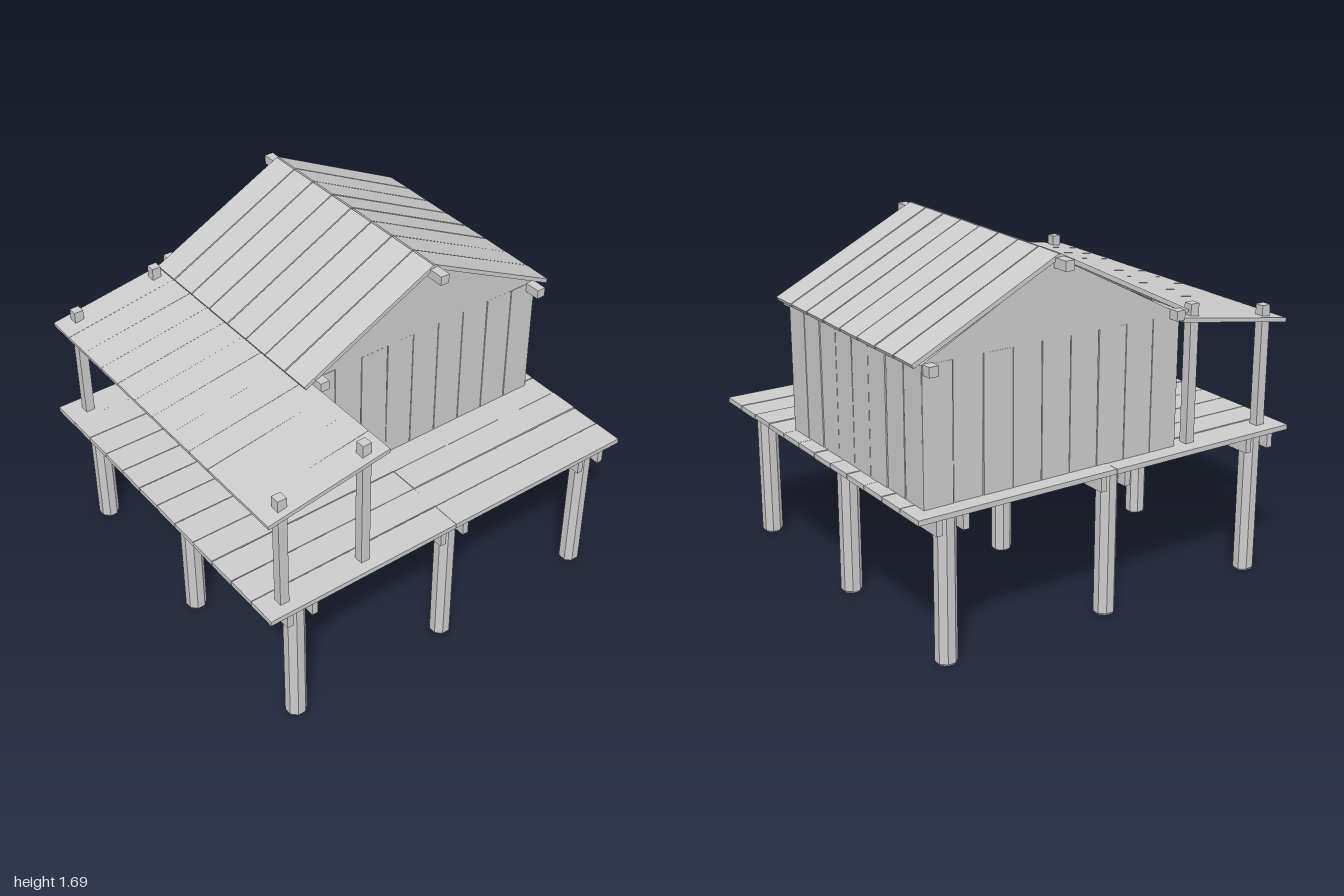
import * as THREE from 'three';

const material = new THREE.MeshStandardMaterial({ color: 0xcccccc, flatShading: true });

export function createModel() {
  const model = new THREE.Group();
  model.name = 'stiltHut';

  // small seeded wobble in -1..1 for hand-laid boards
  let seed = 7;
  const wobble = () => {
    seed = (seed * 16807) % 2147483647;
    return (seed / 2147483647) * 2 - 1;
  };

  const group = (name) => {
    const g = new THREE.Group();
    g.name = name;
    model.add(g);
    return g;
  };

  const add = (parent, name, geometry, x, y, z) => {
    const mesh = new THREE.Mesh(geometry, material);
    mesh.name = name;
    mesh.position.set(x, y, z);
    parent.add(mesh);
    return mesh;
  };

  const box = (parent, name, w, h, d, x, y, z) =>
    add(parent, name, new THREE.BoxGeometry(w, h, d), x, y, z);

  // octagonal piles with a bevelled foot, each row clasped by two beams
  const foundation = group('foundation');
  const pileProfile = [[0, 0], [0.042, 0], [0.05, 0.012], [0.05, 0.69], [0, 0.69]]
    .map(([r, y]) => new THREE.Vector2(r, y));
  for (const x of [-0.833, 0, 0.833]) {
    for (const z of [-0.825, 0, 0.825]) {
      const pile = add(foundation, 'pile', new THREE.LatheGeometry(pileProfile, 8), x, 0, z);
      pile.rotation.y = Math.PI / 8;
    }
    for (const side of [-1, 1]) {
      box(foundation, 'floorBeam', 0.03, 0.072, 1.78, x + side * 0.064, 0.654, 0);
    }
  }

  // deck boards in two lengths
  const deck = group('deck');
  for (let i = 0; i < 12; i++) {
    for (const side of [-1, 1]) {
      const board = box(deck, 'deckBoard', 0.998, 0.024, 0.146,
        side * 0.5, 0.702 + wobble() * 0.002, -0.825 + i * 0.15);
      board.rotation.y = wobble() * 0.002;
    }
  }

  // front and back walls: upright boards below a solid gable
  const x0 = -0.385, x1 = 0.93, z0 = -0.82, z1 = 0.32;
  const wallBase = 0.7, wallTop = 1.33, ridgeX = 0.27;
  const wallHeight = wallTop - wallBase, wallMid = (wallTop + wallBase) / 2;
  const gableShape = new THREE.Shape([
    new THREE.Vector2(x0, wallTop),
    new THREE.Vector2(x1, wallTop),
    new THREE.Vector2(ridgeX, 1.672),
  ]);
  for (const [name, z] of [['frontWall', z1 - 0.01], ['backWall', z0 + 0.01]]) {
    const wall = group(name);
    const step = (x1 - x0) / 9;
    for (let i = 0; i < 9; i++) {
      const board = box(wall, 'wallBoard', step - 0.004, wallHeight, 0.02,
        x0 + (i + 0.5) * step, wallMid, z + wobble() * 0.002);
      board.rotation.z = wobble() * 0.004;
    }
    add(wall, 'gable',
      new THREE.ExtrudeGeometry(gableShape, { depth: 0.02, bevelEnabled: false }), 0, 0, z - 0.01);
  }

  // side walls; the one under the porch roof has a doorway
  const step = (z1 - z0) / 8;
  for (const [name, x, hasDoor] of [['leftWall', x1 - 0.01, false], ['rightWall', x0 + 0.01, true]]) {
    const wall = group(name);
    for (let i = 0; i < 8; i++) {
      const overDoor = hasDoor && (i === 3 || i === 4);
      const h = overDoor ? 0.1 : wallHeight;
      const board = box(wall, overDoor ? 'doorLintel' : 'wallBoard', 0.02, h, step - 0.005,
        x + wobble() * 0.002, wallTop - h / 2, z0 + (i + 0.5) * step);
      board.rotation.x = wobble() * 0.005;
    }
  }

  // a row of boards laid from one point to another in the xy plane
  const slope = (name, from, to, zStart, zEnd, count, gap, skew) => {
    const g = group(name);
    const dx = to[0] - from[0], dy = to[1] - from[1];
    const width = (zEnd - zStart) / count;
    for (let i = 0; i < count; i++) {
      const holder = new THREE.Group();
      holder.name = 'roofBoardHolder';
      holder.position.set((from[0] + to[0]) / 2, (from[1] + to[1]) / 2, zStart + (i + 0.5) * width);
      holder.rotation.z = Math.atan2(dy, dx);
      g.add(holder);
      const board = box(holder, 'roofBoard', Math.hypot(dx, dy), 0.02, width - gap, 0, 0, 0);
      board.rotation.set(wobble() * 0.012, skew + wobble() * 0.003, 0);
    }
  };

  // main roof and lean-to porch roof
  slope('roofRight', [-0.428, 1.334], [ridgeX, 1.684], -0.83, 0.362, 8, 0.005, 0);
  slope('roofLeft', [ridgeX, 1.684], [0.97, 1.334], -0.83, 0.362, 8, 0.006, -0.01);
  slope('porchRoof', [-0.983, 1.213], [-0.372, 1.312], -0.865, 0.878, 12, 0.001, 0);

  // ridge and eave beams projecting past the gables
  const beams = group('roofBeams');
  box(beams, 'ridgeBeam', 0.045, 0.045, 1.335, ridgeX, 1.655, -0.233);
  box(beams, 'eaveBeam', 0.045, 0.045, 1.27, -0.352, 1.337, -0.235);
  box(beams, 'eaveBeam', 0.045, 0.045, 1.27, 0.9, 1.312, -0.235);

  // porch posts poke through the lean-to roof
  const porch = group('porchPosts');
  for (const [x, top] of [[-0.89, 1.29], [-0.465, 1.364]]) {
    for (const z of [-0.807, 0.82]) {
      box(porch, 'porchPost', 0.045, top - 0.7, 0.045, x, (top + 0.7) / 2, z);
    }
  }

  return model;
}
